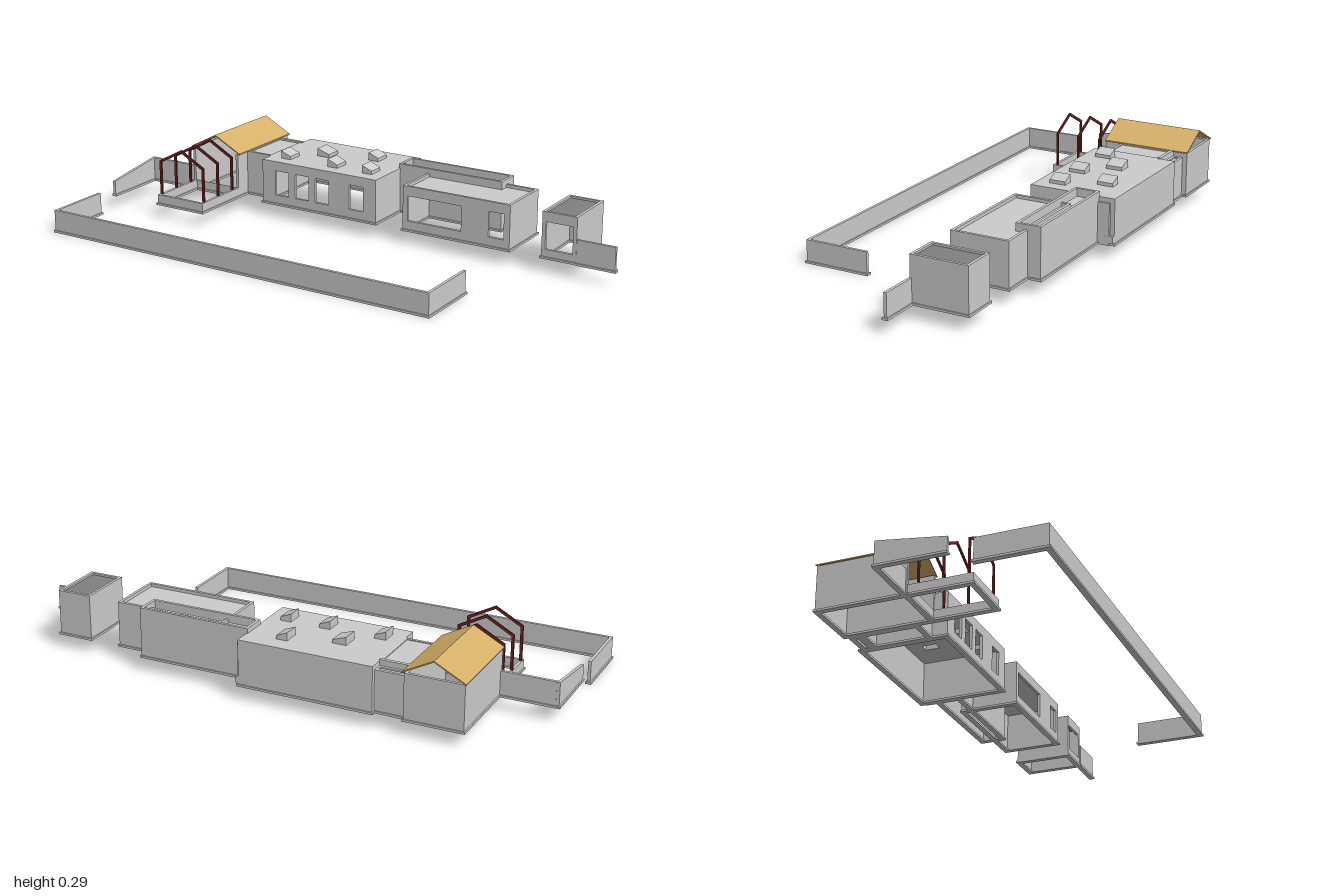
import * as THREE from 'three';

const material = (color) => new THREE.MeshStandardMaterial({ color, side: THREE.DoubleSide });
const GREY = material(0xcccccc), DARK = material(0x808080), GOLD = material(0xd6b069), STEEL = material(0x6e2222);
const G = 0.05;   // upper ground level
const T = 0.011;  // wall thickness
const F = 0.005;  // footing overhang

export function createModel() {
  const model = new THREE.Group();

  const group = (name) => {
    const g = new THREE.Group();
    g.name = name;
    model.add(g);
    return g;
  };
  const add = (parent, name, geometry, mat = GREY) => {
    const mesh = new THREE.Mesh(geometry, mat);
    mesh.name = name;
    parent.add(mesh);
    return mesh;
  };
  const box = (parent, name, x0, x1, y0, y1, z0, z1, mat) =>
    add(parent, name, new THREE.BoxGeometry(x1 - x0, y1 - y0, z1 - z0)
      .translate((x0 + x1) / 2, (y0 + y1) / 2, (z0 + z1) / 2), mat);
  const polygon = (points) => new THREE.Shape(points.map(([x, y]) => new THREE.Vector2(x, y)));
  const rect = (x0, x1, y0, y1) => polygon([[x0, y0], [x1, y0], [x1, y1], [x0, y1]]);
  const extrude = (shape, depth) => new THREE.ExtrudeGeometry(shape, { depth, bevelEnabled: false });

  // Wall facing z, with rectangular openings [x0, x1, y0, y1]
  const frontWall = (parent, name, x0, x1, y0, y1, z, openings = []) => {
    const shape = rect(x0, x1, y0, y1);
    openings.forEach((o) => shape.holes.push(rect(...o)));
    add(parent, name, extrude(shape, T).translate(0, 0, z - T));
  };

  // Horizontal slab with rectangular holes [x0, x1, z0, z1]
  const slab = (parent, name, x0, x1, z0, z1, y0, y1, holes = [], mat) => {
    const shape = rect(x0, x1, -z1, -z0);
    holes.forEach(([a, b, c, d]) => shape.holes.push(rect(a, b, -d, -c)));
    add(parent, name, extrude(shape, y1 - y0).rotateX(-Math.PI / 2).translate(0, y0, 0), mat);
  };

  const footing = (parent, x0, x1, z0, z1, y = G) =>
    slab(parent, 'footing', x0 - F, x1 + F, z0 - F, z1 + F, y, y + 0.008,
      [[x0 + T + F, x1 - T - F, z0 + T + F, z1 - T - F]]);

  // Four walls on a footing; openings pierce the front, null leaves it open
  const room = (parent, x0, x1, z0, z1, top, openings = []) => {
    footing(parent, x0, x1, z0, z1);
    box(parent, 'rightWall', x0, x0 + T, G, top, z0, z1);
    box(parent, 'leftWall', x1 - T, x1, G, top, z0, z1);
    box(parent, 'backWall', x0 + T, x1 - T, G, top, z0, z0 + T);
    if (openings) frontWall(parent, 'frontWall', x0 + T, x1 - T, G, top, z1, openings);
  };

  // Straight garden wall with its footing
  const gardenWall = (parent, x0, x1, z0, z1, y0, y1) => {
    box(parent, 'wall', x0, x1, y0 + 0.008, y1, z0, z1);
    box(parent, 'footing', x0 - F, x1 + F, y0, y0 + 0.008, z0 - F, z1 + F);
  };

  // Front boundary wall
  const boundary = group('frontBoundaryWall');
  gardenWall(boundary, -0.995, 0.6, 0.445, 0.456, 0, 0.086);
  gardenWall(boundary, -0.995, -0.984, 0.206, 0.445, 0, 0.086);
  gardenWall(boundary, 0.589, 0.6, 0.206, 0.445, 0, 0.086);

  // Side garden wall with a sloping top
  const side = group('sideGardenWall');
  const slope = polygon([[-0.118, G], [0.135, G], [0.135, 0.145], [-0.118, 0.11]]);
  add(side, 'slopingWall', extrude(slope, T).rotateY(Math.PI / 2).translate(-0.995, 0, 0));
  box(side, 'footing', -1, -0.979, G, G + 0.008, -0.14, 0.12);
  gardenWall(side, -0.984, -0.785, -0.136, -0.125, G, 0.145);

  // Open steel frames on a low plinth
  const pergola = group('pergola');
  footing(pergola, -0.78, -0.57, -0.13, 0.113);
  slab(pergola, 'plinth', -0.78, -0.57, -0.12, 0.113, G, 0.09, [[-0.769, -0.581, -0.119, 0.102]]);
  const arch = polygon([
    [-0.779, 0.09], [-0.769, 0.09], [-0.769, 0.216], [-0.675, 0.267], [-0.581, 0.216], [-0.581, 0.09],
    [-0.571, 0.09], [-0.571, 0.222], [-0.675, 0.278], [-0.779, 0.222]]);
  for (const z of [0.095, 0.005, -0.085]) {
    add(pergola, 'steelFrame', extrude(arch, 0.006).translate(0, 0, z - 0.003), STEEL);
  }

  // Pitched-roof house, open at the gables
  const house = group('gabledHouse');
  room(house, -0.784, -0.57, -0.456, -0.12, 0.222, null);
  const pitch = polygon([
    [-0.788, 0.222], [-0.675, 0.281], [-0.562, 0.222], [-0.562, 0.227], [-0.675, 0.286], [-0.788, 0.227]]);
  add(house, 'pitchedRoof', extrude(pitch, 0.342).translate(0, 0, -0.46), GOLD);

  // Link between house and hall
  const link = group('link');
  room(link, -0.57, -0.455, -0.4, -0.182, 0.222);
  slab(link, 'linkRoof', -0.57, -0.455, -0.4, -0.182, 0.21, 0.219);
  box(link, 'rearParapet', -0.57, -0.455, 0.2, 0.226, -0.4, -0.387);
  room(link, -0.565, -0.455, -0.44, -0.4, 0.205);
  slab(link, 'rearLedge', -0.565, -0.455, -0.44, -0.4, 0.19, 0.2);

  // Main hall with four windows
  const hall = group('mainHall');
  const windows = [-0.37, -0.28, -0.19, -0.04].map((x) => [x - 0.03, x + 0.03, 0.09, 0.185]);
  room(hall, -0.458, 0.045, -0.456, -0.124, 0.212, windows);
  box(hall, 'sideStep', 0.045, 0.056, 0.06, 0.085, -0.455, -0.42);
  box(hall, 'sidePier', 0.045, 0.055, G, 0.205, -0.44, -0.395);

  // Roof lights with sloping lids
  const lights = [[-0.385, -0.205], [-0.28, -0.305], [-0.175, -0.205], [-0.09, -0.36], [-0.025, -0.205]]
    .map(([x, z], i) => {
      const w = i === 1 ? 0.026 : 0.021, d = i === 1 ? 0.032 : 0.031;
      return [x - w, x + w, z - d, z + d];
    });
  slab(hall, 'hallRoof', -0.458, 0.045, -0.456, -0.124, 0.212, 0.222,
    lights.map(([a, b, c, d]) => [a + 0.004, b - 0.004, c + 0.004, d - 0.004]));
  for (const [x0, x1, z0, z1] of lights) {
    const t = 0.004;
    const cheek = polygon([[x0, 0.22], [x1, 0.22], [x1, 0.235], [x0, 0.252]]);
    add(hall, 'roofLightCheek', extrude(cheek, t).translate(0, 0, z0));
    add(hall, 'roofLightCheek', extrude(cheek, t).translate(0, 0, z1 - t));
    box(hall, 'roofLightTallSide', x0, x0 + t, 0.22, 0.25, z0, z1);
    box(hall, 'roofLightShortSide', x1 - t, x1, 0.22, 0.235, z0, z1);
    const lid = polygon([[x0, 0.25], [x1, 0.233], [x1, 0.235], [x0, 0.252]]);
    add(hall, 'roofLightLid', extrude(lid, z1 - z0).translate(0, 0, z0));
  }

  // Wing with a wide window and a narrow one
  const wing = group('wing');
  room(wing, 0.16, 0.594, -0.345, -0.124, 0.222, [[0.18, 0.4, 0.09, 0.185], [0.51, 0.57, 0.09, 0.185]]);
  slab(wing, 'wingRoof', 0.165, 0.589, -0.34, -0.129, 0.2, 0.21);

  // Taller corridor behind the wing
  const corridor = group('corridor');
  room(corridor, 0.04, 0.47, -0.395, -0.3, 0.24);
  slab(corridor, 'corridorRoof', 0.045, 0.465, -0.39, -0.305, 0.2, 0.21);

  // Outbuilding, open at the front, with a low wall beside it
  const shed = group('outbuilding');
  room(shed, 0.716, 0.848, -0.345, -0.128, 0.222, [[0.73, 0.834, 0.084, 0.185]]);
  slab(shed, 'outbuildingRoof', 0.721, 0.843, -0.34, -0.133, 0.205, 0.215, [], DARK);
  gardenWall(shed, 0.85, 0.995, -0.136, -0.125, G, 0.142);

  return model;
}
